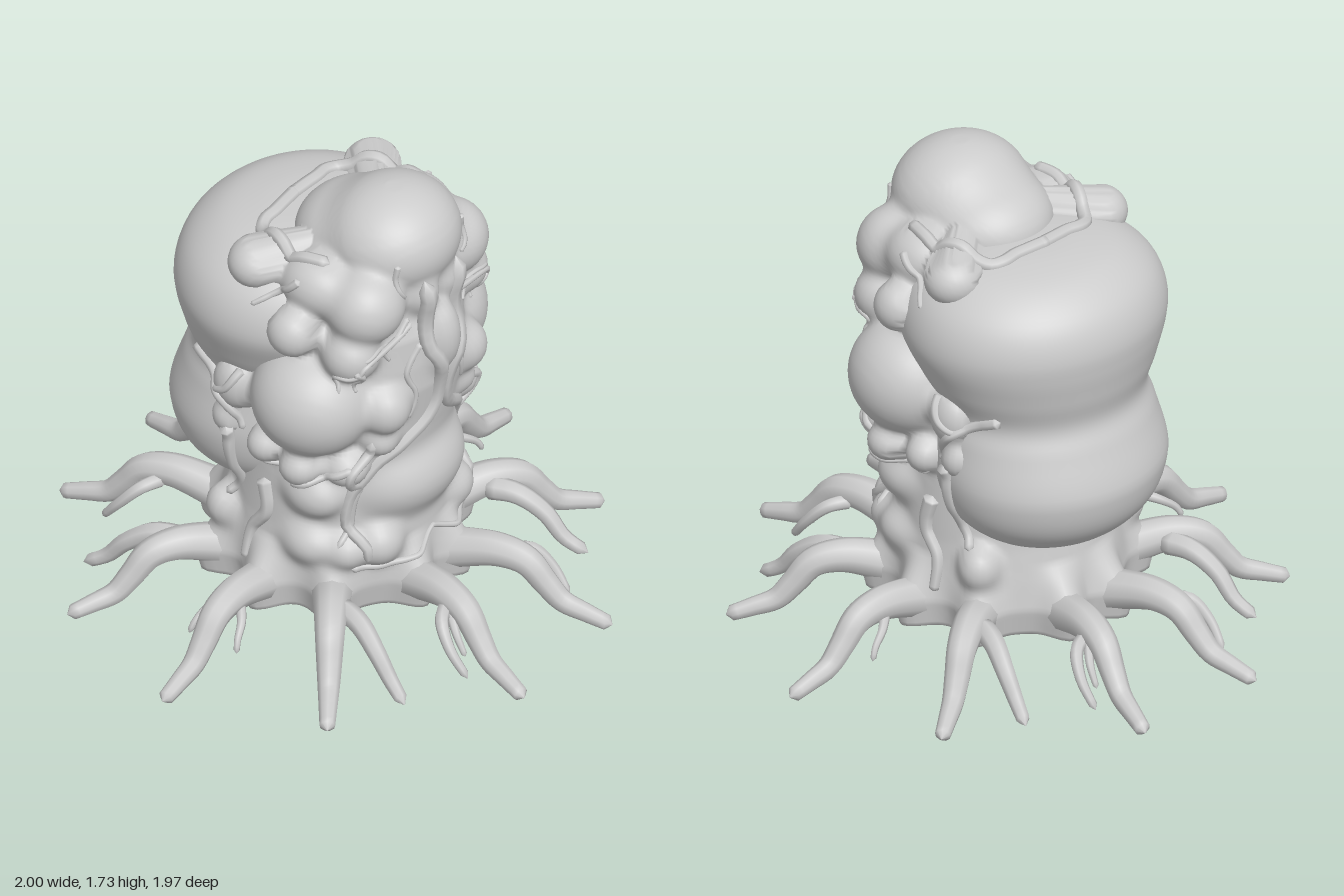
import * as THREE from 'three';
import { mergeVertices } from 'three/addons/utils/BufferGeometryUtils.js';

const V = (x, y, z) => new THREE.Vector3(x, y, z);
const { clamp, lerp, mapLinear } = THREE.MathUtils;
const material = new THREE.MeshStandardMaterial({ color: 0xcccccc, roughness: 0.8 });

function addMesh(parent, name, geometry) {
  geometry.deleteAttribute('uv');
  geometry.deleteAttribute('normal');
  const merged = mergeVertices(geometry, 1e-5);
  merged.computeVertexNormals();
  const mesh = new THREE.Mesh(merged, material);
  mesh.name = name;
  parent.add(mesh);
}

// Tube whose radius follows a rule of t and closes at both ends
function taperTube(parent, name, points, radius, seg = 28, sides = 8) {
  const path = new THREE.CatmullRomCurve3(points);
  const g = new THREE.TubeGeometry(path, seg, 1, sides, false);
  const p = g.attributes.position, v = V(0, 0, 0);
  for (let i = 0; i <= seg; i++) {
    const t = i / seg, c = path.getPointAt(t);
    const r = i === 0 || i === seg ? 0.001 : radius(t);
    for (let j = 0; j <= sides; j++) {
      const k = i * (sides + 1) + j;
      v.fromBufferAttribute(p, k).sub(c).multiplyScalar(r).add(c);
      p.setXYZ(k, v.x, v.y, v.z);
    }
  }
  addMesh(parent, name, g);
}

// Turned form, with every vertex moved by a rule afterwards
function turned(parent, name, profile, segments, move) {
  const g = new THREE.LatheGeometry(profile.map(([r, y]) => new THREE.Vector2(r, y)), segments);
  const p = g.attributes.position, v = V(0, 0, 0);
  for (let i = 0; i < p.count; i++) {
    move(v.fromBufferAttribute(p, i));
    p.setXYZ(i, v.x, v.y, v.z);
  }
  addMesh(parent, name, g);
}

// Root directions in one quarter: angle from x, and length
const ROOTS = [[0, 1], [0.602, 0.97], [1.318, 1.015]];

// Trunk radius by height
const TRUNK = [[0.1, 0.39], [0.2, 0.41], [0.3, 0.4], [0.42, 0.385], [0.7, 0.37], [1.0, 0.39], [1.22, 0.37], [1.43, 0.29], [1.52, 0.1], [1.8, -0.3]];

// Swellings melted into the trunk, mirrored in x: centre, radii
const SWELLINGS = [
  [[0, 1.535, 0.24], [0.245, 0.195, 0.23]], // head
  [[0, 1.48, 0.12], [0.235, 0.17, 0.24]], // slope behind the head
  [[0, 0.58, 0.27], [0.26, 0.18, 0.195]], // belly
  [[0, 1.18, 0.42], [0.08, 0.15, 0.09]], // snout
  [[0.325, 0.98, 0.14], [0.207, 0.205, 0.215]], // cheek
  [[0.24, 1.39, 0.3], [0.14, 0.135, 0.135]], // upper cheek
  [[0.055, 1.38, 0.38], [0.07, 0.09, 0.08]], // brow
  [[0.28, 1.43, 0.13], [0.11, 0.11, 0.14]], // temple
  [[0.4, 1.29, 0.11], [0.085, 0.09, 0.09]], // side of the face
  [[0.33, 1.46, -0.09], [0.105, 0.09, 0.1]],
  [[0.31, 1.22, 0.29], [0.1, 0.1, 0.1]],
  [[0.22, 0.97, 0.37], [0.09, 0.095, 0.085]], // front
  [[0.22, 0.83, 0.35], [0.065, 0.06, 0.06]],
  [[0.41, 0.74, 0.15], [0.075, 0.07, 0.075]], // hip
  [[0.39, 0.75, -0.01], [0.065, 0.065, 0.065]],
  [[0.31, 0.73, 0.27], [0.08, 0.07, 0.08]],
  [[0.33, 0.58, 0.15], [0.085, 0.09, 0.11]], // flank
  [[0.38, 0.95, -0.14], [0.07, 0.1, 0.085]],
  [[0.38, 0.8, -0.17], [0.06, 0.07, 0.06]],
  [[0.34, 0.37, 0.14], [0.08, 0.08, 0.1]], // foot
  [[0.2, 0.37, 0.33], [0.09, 0.085, 0.08]],
  [[0.3, 0.36, 0.26], [0.07, 0.07, 0.07]],
  [[0.33, 0.36, -0.22], [0.07, 0.08, 0.07]],
];

function trunkRadius(x, y, z) {
  const i = Math.max(1, TRUNK.findIndex(([h]) => h >= y));
  const [[y0, r0], [y1, r1]] = [TRUNK[i - 1], TRUNK[i]];
  const a = Math.atan2(Math.abs(z), Math.abs(x));
  const near = Math.min(...ROOTS.map(([b]) => Math.abs(a - b)));
  const flare = Math.exp(-((near / 0.15) ** 2)) * clamp((0.36 - y) / 0.16, 0, 1);
  return lerp(r0, r1, (y - y0) / (y1 - y0)) * (1 + 0.25 * flare);
}

// Distance to the trunk and swellings, blended softly
function distance(x, y, z) {
  const lean = 0.07 * clamp((y - 0.2) / 0.9, 0, 1), k = 0.04;
  let d = Math.hypot(x, z - lean) - trunkRadius(x, y, z);
  for (const [c, r] of SWELLINGS) {
    const px = (Math.abs(x) - c[0]) / r[0], py = (y - c[1]) / r[1], pz = (z - c[2]) / r[2];
    const k0 = Math.hypot(px, py, pz);
    const e = (k0 * (k0 - 1)) / (Math.hypot(px / r[0], py / r[1], pz / r[2]) + 1e-6);
    const h = Math.max(k - Math.abs(d - e), 0) / k;
    d = Math.min(d, e) - (h * h * k) / 4;
  }
  return d;
}

function buildBody(body) {
  // Trunk and head: a turned skin shrunk inward until it meets the swellings
  const rows = Array.from({ length: 150 }, (_, i) => [1, 0.1 + 1.629 * (1 - (1 - i / 149) ** 1.35)]);
  turned(body, 'trunkAndHead', [[0, 0.1], [0.97, 0.1], ...rows, [0, 1.731]], 144, (v) => {
    const axis = mapLinear(clamp(v.y, 1.3, 1.6), 1.3, 1.6, 0.04, 0.22);
    const share = Math.hypot(v.x, v.z);
    if (share < 1e-6) return v.set(0, v.y, axis);
    const dx = v.x / share, dz = v.z / share;
    let r = 0.7;
    for (let i = 0; i < 60 && r > 0; i++) {
      const d = distance(dx * r, v.y, axis + dz * r);
      if (d < 0.0008) break;
      r -= 0.7 * d;
    }
    r = Math.max(r, 0) * share;
    return v.set(dx * r, v.y, axis + dz * r);
  });

  // Two-lobed hump on the back, the upper lobe reaching further forward
  const hump = [[0, 0.41], [0.2, 0.44], [0.33, 0.55], [0.375, 0.7], [0.355, 0.86], [0.338, 0.96], [0.385, 1.08], [0.43, 1.23], [0.395, 1.37], [0.29, 1.465], [0.15, 1.5], [0, 1.505]];
  const curve = new THREE.SplineCurve(hump.map(([r, y]) => new THREE.Vector2(r, y)));
  turned(body, 'backHump', curve.getPoints(66).map((q) => [Math.max(q.x, 0), q.y]), 80, (v) => {
    v.x *= 1.12;
    v.z -= mapLinear(clamp(v.y, 0.7, 1.2), 0.7, 1.2, 0.22, 0.13);
  });
}

// Veins are drawn flat (front: x,y; side: z,y; top: x,z) and draped onto the body
const VEINS = [
  ['front', 0.032, [[0.09, 1.46], [0.075, 1.3], [0.08, 1.18], [0.03, 1.06], [0.035, 0.89], [0.17, 0.77], [0.26, 0.67], [0.3, 0.52], [0.28, 0.32]]],
  ['front', 0.015, [[0.32, 0.3], [0.2, 0.29], [0.1, 0.3], [-0.01, 0.35]]],
  ['front', 0.013, [[0.18, 1.56], [0.19, 1.47], [0.16, 1.42]]],
  ['front', 0.012, [[0.12, 1.3], [0.2, 1.23], [0.28, 1.25], [0.35, 1.24]]],
  ['front', 0.012, [[0.25, 1.24], [0.21, 1.17]]],
  ['front', 0.012, [[0.38, 1.2], [0.34, 1.16], [0.33, 1.08]]],
  ['front', 0.014, [[0.1, 1.2], [0.16, 1.1], [0.13, 1.0], [0.15, 0.9]]],
  ['top', 0.026, [[-0.03, -0.18], [0.12, -0.17], [0.21, -0.16], [0.28, -0.03], [0.3, 0.08], [0.28, 0.18]]],
  ['side', 0.016, [[0.12, 1.49], [0.06, 1.43], [-0.04, 1.36]]],
  ['side', 0.013, [[0.4, 1.28], [0.36, 1.18], [0.28, 1.17], [0.3, 1.1]]],
  ['side', 0.02, [[0.36, 0.85], [0.32, 0.7], [0.28, 0.55], [0.27, 0.4]]],
  ['side', 0.016, [[0.33, 0.76], [0.25, 0.72], [0.1, 0.67], [-0.05, 0.7]]],
  ['side', 0.022, [[-0.34, 1.0], [-0.22, 0.94], [-0.14, 0.86], [-0.1, 0.77]]],
  ['side', 0.018, [[-0.1, 1.03], [-0.14, 0.96], [-0.21, 0.92]]],
  ['side', 0.026, [[-0.15, 0.78], [-0.15, 0.62], [-0.15, 0.5], [-0.2, 0.43]]],
  ['side', 0.03, [[-0.03, 0.58], [-0.01, 0.46], [-0.07, 0.36], [-0.08, 0.24]]],
];

function buildVeins(veins, body) {
  const ray = new THREE.Raycaster();
  const cast = {
    front: (u, v, s) => [V(s * u, v, 3), V(0, 0, -1)],
    side: (u, v, s) => [V(s * 3, v, u), V(-s, 0, 0)],
    top: (u, v, s) => [V(s * u, 3, v), V(0, -1, 0)],
  };
  body.updateMatrixWorld(true);
  for (const [view, r, flat] of VEINS) for (const s of [1, -1]) {
    const curve = new THREE.SplineCurve(flat.map(([u, v]) => new THREE.Vector2(u, v)));
    const points = [];
    for (const q of curve.getSpacedPoints(flat.length * 2)) {
      ray.set(...cast[view](q.x, q.y, s));
      const hit = ray.intersectObjects(body.children, false)[0];
      if (hit) points.push(hit.point.clone());
    }
    const taper = view === 'top' ? 0.1 : 0.4;
    if (points.length > 2) taperTube(veins, 'vein', points, (t) => r * (1 - taper * t), 36, 7);
  }
}

function buildRoots(roots) {
  const main = [[0.33, 0.16], [0.46, 0.2], [0.59, 0.225], [0.69, 0.205], [0.76, 0.13], [0.82, 0.07], [0.9, 0.045], [1, 0.018]];
  const twig = [[0.58, 0.2, 0.02], [0.64, 0.17, 0.07], [0.69, 0.13, 0.09], [0.71, 0.09, 0.1]];
  // Side shoots of each root: points along, up and across, and radius
  const shoots = [
    [[twig, 0.02], [twig.map(([l, y, w]) => [l, y, -w]), 0.02]],
    [[[[0.52, 0.21, 0.02], [0.62, 0.21, 0.1], [0.7, 0.15, 0.16], [0.75, 0.07, 0.21], [0.82, 0.02, 0.26]], 0.045]],
    [[[[0.62, 0.2, -0.02], [0.68, 0.19, -0.09], [0.75, 0.12, -0.11], [0.82, 0.03, -0.09]], 0.028],
      [[[0.65, 0.2, -0.03], [0.72, 0.15, -0.06], [0.77, 0.08, -0.06]], 0.02]],
  ];
  ROOTS.forEach(([a, length], i) => {
    for (const sx of [1, -1]) for (const sz of a === 0 ? [1] : [1, -1]) {
      const place = ([l, y, w]) => V(sx * (l * Math.cos(a) - w * Math.sin(a)), y, sz * (l * Math.sin(a) + w * Math.cos(a)));
      const path = main.map(([l, y]) => place([l * length, y, 0]));
      taperTube(roots, 'root', path, (t) => 0.082 - 0.056 * t ** 0.9, 36, 9);
      for (const [pts, r] of shoots[i]) taperTube(roots, 'rootShoot', pts.map(place), (t) => r * (1 - 0.5 * t), 16, 7);
    }
  });
}

export function createModel() {
  const model = new THREE.Group();
  const [body, veins, roots] = ['body', 'veins', 'roots'].map((name) => {
    const g = new THREE.Group();
    g.name = name;
    model.add(g);
    return g;
  });
  buildBody(body);
  buildVeins(veins, body);
  buildRoots(roots);
  return model;
}
